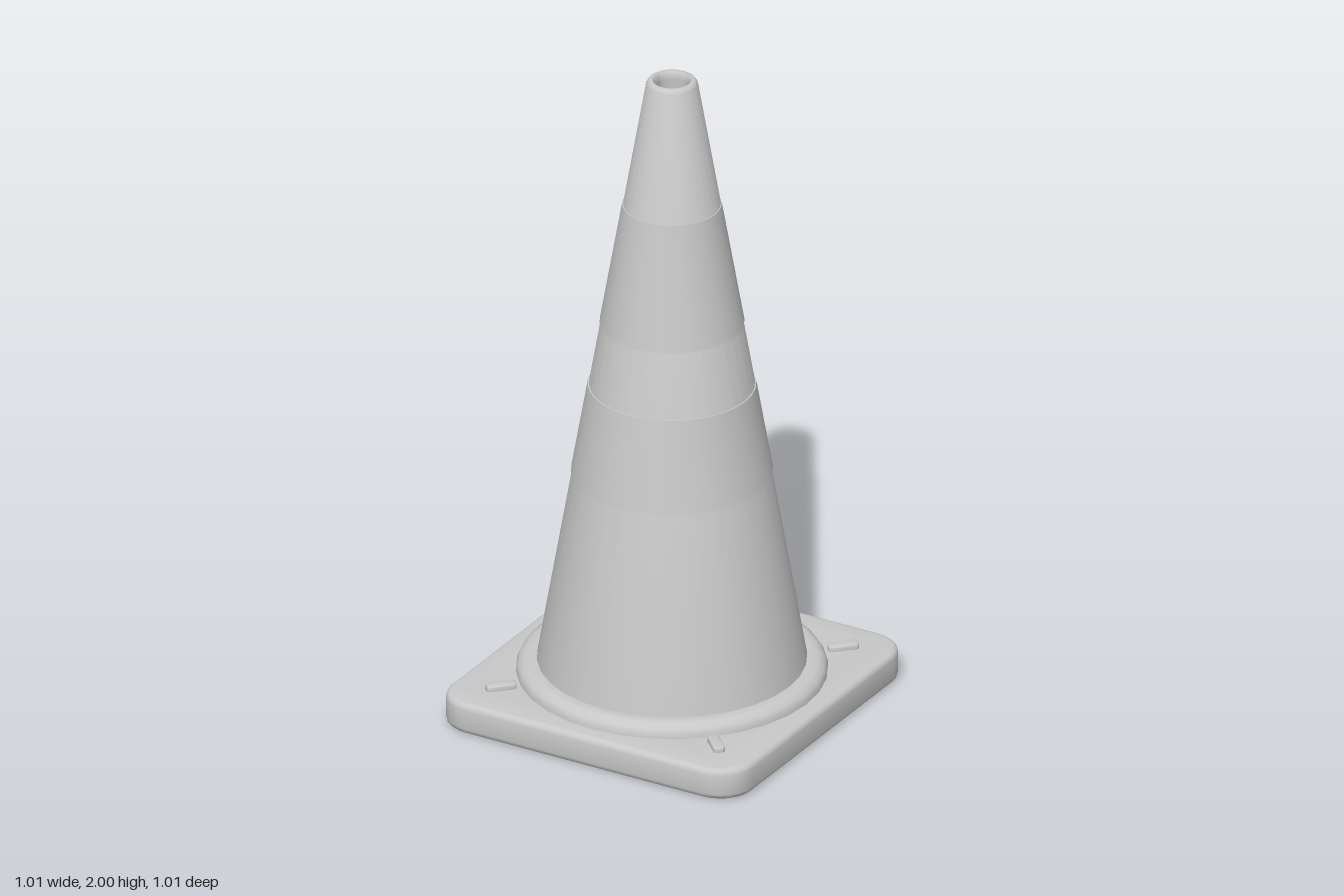
import * as THREE from 'three';
import { toCreasedNormals } from 'three/addons/utils/BufferGeometryUtils.js';

const SIDES = 32;
const TOP = 2, FOOT = 0.1, R_TOP = 0.073, R_FOOT = 0.4;

// outer radius of the cone wall at height y
const coneRadius = (y) => R_FOOT + (R_TOP - R_FOOT) * (y - FOOT) / (TOP - FOOT);

function lathe(points) {
  const profile = points.map(([r, y]) => new THREE.Vector2(r, y));
  return toCreasedNormals(new THREE.LatheGeometry(profile, SIDES), 0.7);
}

// square with rounded corners, as an upright bevelled slab
function slab(w, d, radius, height, bevel, holeRadius, steps) {
  const x = w / 2 - bevel, y = d / 2 - bevel, r = radius;
  const s = new THREE.Shape();
  s.absarc(x - r, y - r, r, 0, Math.PI / 2);
  s.absarc(-x + r, y - r, r, Math.PI / 2, Math.PI);
  s.absarc(-x + r, -y + r, r, Math.PI, Math.PI * 1.5);
  s.absarc(x - r, -y + r, r, Math.PI * 1.5, Math.PI * 2);
  if (holeRadius) {
    const hole = new THREE.Path();
    hole.absarc(0, 0, holeRadius, 0, Math.PI * 2, true);
    s.holes.push(hole);
  }
  const g = new THREE.ExtrudeGeometry(s, {
    depth: height - 2 * bevel, bevelThickness: bevel, bevelSize: bevel,
    bevelSegments: 3, curveSegments: steps,
  });
  g.translate(0, 0, bevel);
  g.rotateX(-Math.PI / 2);
  return toCreasedNormals(g, 0.65);
}

export function createModel() {
  const group = new THREE.Group();
  const grey = new THREE.MeshStandardMaterial({ color: 0xc8c8c8 });
  grey.name = 'plain grey';
  const greySheet = new THREE.MeshStandardMaterial({ color: 0xc8c8c8, side: THREE.DoubleSide });
  greySheet.name = 'plain grey sheet';

  const add = (name, geometry, material = grey) => {
    const mesh = new THREE.Mesh(geometry, material);
    mesh.name = name;
    group.add(mesh);
    return mesh;
  };

  // square foot with an open middle
  add('base', slab(1.01, 1.01, 0.09, 0.096, 0.018, 0.395, 3));

  // raised ring around the foot of the cone
  add('baseRing', lathe([
    [0.45, 0.085], [0.45, 0.108], [0.442, 0.123], [0.425, 0.134], [0.405, 0.137], [0.385, 0.135],
  ]));

  // hollow cone: outer wall, rounded lip, inner wall
  add('cone', lathe([
    [R_FOOT - 0.002, FOOT - 0.01], [R_TOP + 0.002, 1.988], [0.07, 1.997], [0.065, 2],
    [0.056, 2], [0.051, 1.993], [0.05, 1.975], [0.375, 0.09],
  ]));

  // two sleeves wrapped round the cone
  for (const [name, y0, y1] of [['lowerBand', 0.74, 1.02], ['upperBand', 1.22, 1.6]]) {
    const skin = 0.002;
    add(name, lathe([
      [coneRadius(y0) - skin, y0], [coneRadius(y0) + skin, y0],
      [coneRadius(y1) + skin, y1], [coneRadius(y1) - skin, y1],
    ]));
  }

  // thin scuff lines on the back: height, start angle, sweep
  for (const [y, start, sweep] of [[0.41, 0.09, 0.49], [0.51, -0.61, 0.91], [0.31, -1.02, 0.83]]) {
    const g = new THREE.CylinderGeometry(coneRadius(y + 0.005) + 0.001, coneRadius(y - 0.005) + 0.001,
      0.01, 12, 1, true, Math.PI + start, sweep);
    g.translate(0, y, 0);
    add('scuffLine', g, greySheet);
  }

  // small raised lugs pointing at the corners
  for (const sx of [-1, 1]) for (const sz of [-1, 1]) {
    const lug = add('cornerLug', slab(0.09, 0.034, 0.006, 0.03, 0.005, 0, 3));
    lug.position.set(sx * 0.36, 0.083, sz * 0.36);
    lug.rotation.y = -sx * sz * Math.PI / 4;
  }
  return group;
}
